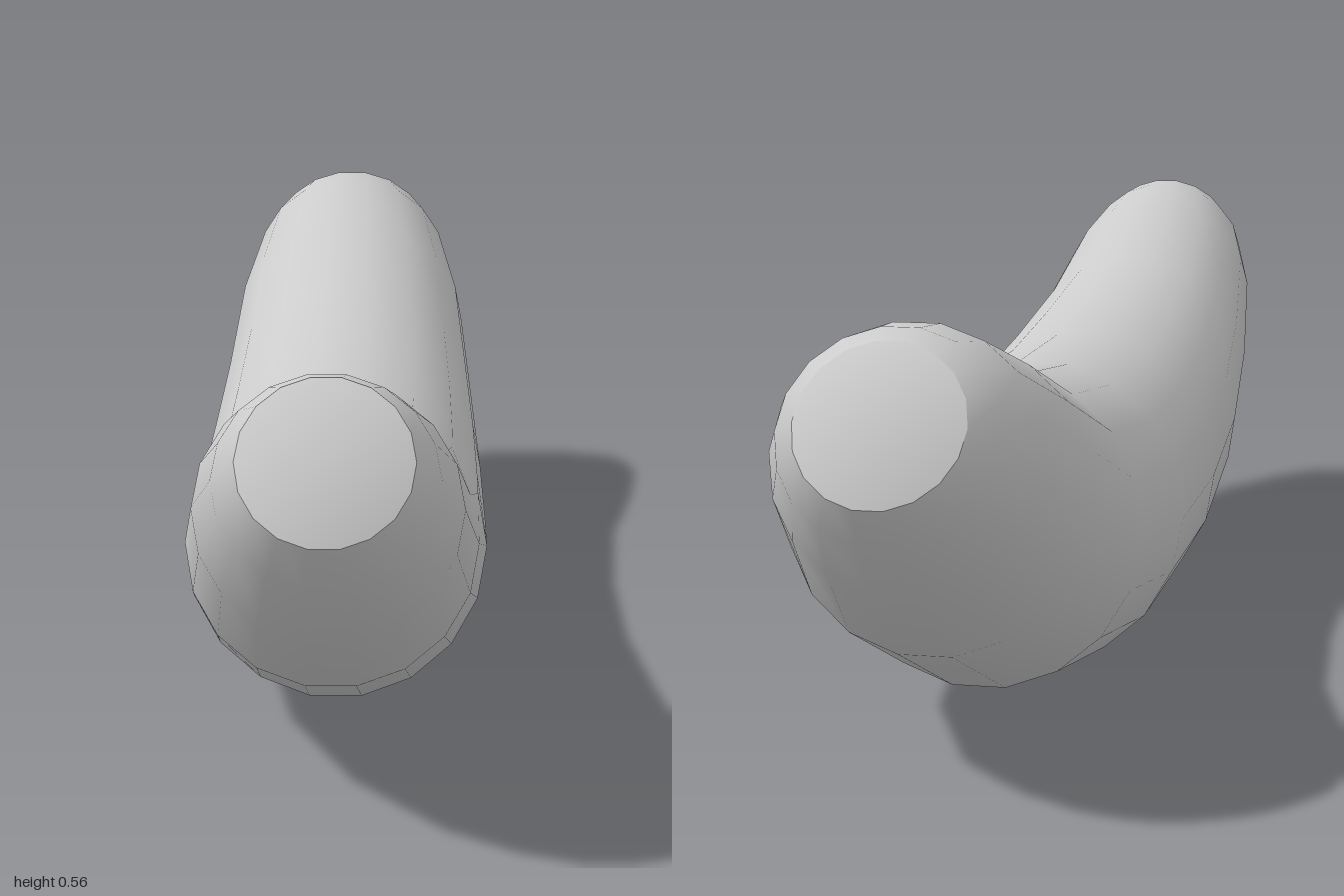
import * as THREE from 'three';

const SIDES = 18;

// Cross-sections from front to back: bottom z, bottom y, top z, top y, half width
const SECTIONS = [
  [1.0, 0.40, 0.89, 0.56, 0.097],
  [0.96, 0.345, 0.85, 0.555, 0.125],
  [0.87, 0.26, 0.76, 0.53, 0.153],
  [0.70, 0.15, 0.56, 0.46, 0.175],
  [0.44, 0.05, 0.35, 0.425, 0.193],
  [0.14, 0.0, 0.13, 0.40, 0.2],
  [-0.21, 0.0, -0.13, 0.40, 0.203],
  [-0.51, 0.05, -0.40, 0.43, 0.198],
  [-0.77, 0.16, -0.62, 0.50, 0.186],
  [-0.90, 0.265, -0.79, 0.55, 0.158],
  [-0.97, 0.335, -0.86, 0.555, 0.128],
  [-1.0, 0.38, -0.90, 0.545, 0.097],
];

// Ring of points with a flat edge at its top and bottom
function ring([bz, by, tz, ty, r]) {
  const k = 0.5 / Math.cos(Math.PI / SIDES);
  const points = [];
  for (let j = 0; j < SIDES; j++) {
    const a = ((j + 0.5) / SIDES) * Math.PI * 2;
    const c = Math.cos(a) * k;
    points.push(r * Math.sin(a), (by + ty) / 2 + (ty - by) * c, (bz + tz) / 2 + (tz - bz) * c);
  }
  return points;
}

function makeMesh(name, positions, index, material) {
  const geometry = new THREE.BufferGeometry();
  geometry.setAttribute('position', new THREE.Float32BufferAttribute(positions, 3));
  geometry.setIndex(index);
  geometry.computeVertexNormals();
  const mesh = new THREE.Mesh(geometry, material);
  mesh.name = name;
  return mesh;
}

// Shallow domed end cap fanned around one centre point
function makeCap(name, section, centre, front, material) {
  const index = [];
  for (let j = 0; j < SIDES; j++) {
    const n = (j + 1) % SIDES;
    index.push(SIDES, front ? n : j, front ? j : n);
  }
  return makeMesh(name, [...ring(section), ...centre], index, material);
}

export function createModel() {
  const group = new THREE.Group();
  group.name = 'curvedSausage';
  const material = new THREE.MeshStandardMaterial({ color: 0xcccccc });

  // Smooth curved body
  const positions = SECTIONS.flatMap(ring);
  const index = [];
  for (let i = 0; i < SECTIONS.length - 1; i++) {
    for (let j = 0; j < SIDES; j++) {
      const a = i * SIDES + j;
      const b = i * SIDES + ((j + 1) % SIDES);
      index.push(a, b, a + SIDES, b, b + SIDES, a + SIDES);
    }
  }
  group.add(makeMesh('body', positions, index, material));

  // Ends
  group.add(makeCap('frontEnd', SECTIONS[0], [0, 0.495, 0.97], true, material));
  group.add(makeCap('backEnd', SECTIONS[SECTIONS.length - 1], [0, 0.48, -0.975], false, material));
  return group;
}
